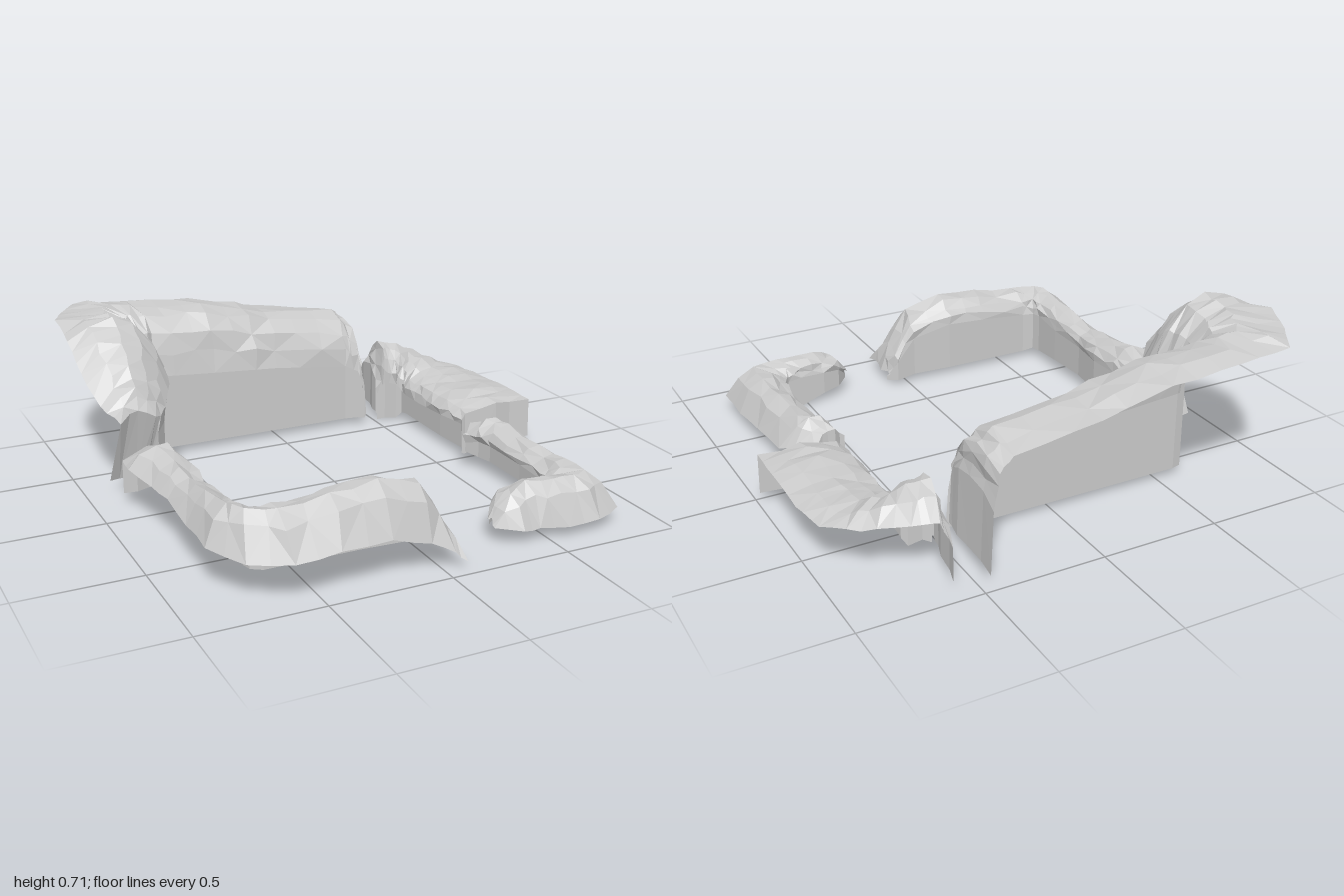
import * as THREE from 'three';

// small seeded noise in -1..1
function makeNoise(seed) {
  let s = seed;
  return () => {
    s = (s * 16807) % 2147483647;
    return (s / 2147483647) * 2 - 1;
  };
}

const material = new THREE.MeshStandardMaterial({ color: 0xcccccc, flatShading: true, side: THREE.DoubleSide });

// One cross-section, from the foot of the flat inner wall over the crest to the outer rim.
// key: [inner x, inner z, outer x, outer z, crest y, wall top y, rim y, bulge, base y]
// A positive bulge overhangs the inner wall, a negative one slopes back from it.
function section([ix, iz, ox, oz, crest, wall, rim, bulge, base]) {
  const rise = crest - wall, fall = crest - rim;
  return [
    [0, base], [0, wall], [-bulge, wall + rise * 0.35], [0.08 - bulge * 0.5, wall + rise * 0.65],
    [0.25, wall + rise * 0.9], [0.48, crest], [0.75, rim + fall * 0.72], [1, rim],
  ].map(([t, y]) => new THREE.Vector3(ix + (ox - ix) * t, y, iz + (oz - iz) * t));
}

// Subdivide the key stations and roughen the rounded crest
function loftRings(keys, steps, rough, seed) {
  const noise = makeNoise(seed);
  const rings = [];
  for (let i = 0; i < keys.length - 1; i++) {
    const last = i === keys.length - 2;
    for (let k = 0; k < steps + (last ? 1 : 0); k++) {
      const f = k / steps;
      rings.push(section(keys[i].map((v, j) => v + (keys[i + 1][j] - v) * f)));
    }
  }
  for (const ring of rings) {
    ring.forEach((p, j) => {
      if (j < 2) return;
      const a = j === 7 ? rough * 0.3 : rough;
      p.x += noise() * a;
      p.y += noise() * a;
      p.z += noise() * a;
    });
  }
  return rings;
}

// Facets between neighbouring rings, with alternating diagonals
function addStrip(out, a, b, flip) {
  for (let j = 0; j < a.length - 1; j++) {
    const [p, q, r, s] = [a[j], b[j], b[j + 1], a[j + 1]];
    const tris = (j + flip) % 2 ? [p, q, r, p, r, s] : [p, q, s, q, r, s];
    for (const v of tris) out.push(v.x, v.y, v.z);
  }
}

// Drop an end section to the ground, leaning by dx, dz
function skirt(ring, dx, dz, y) {
  return ring.map((p) => new THREE.Vector3(p.x + dx, y, p.z + dz));
}

function ridge(name, keys, { steps, rough, seed, startSkirt, endSkirt }) {
  const rings = loftRings(keys, steps, rough, seed);
  const pos = [];
  rings.slice(1).forEach((ring, i) => addStrip(pos, rings[i], ring, i));
  if (startSkirt) addStrip(pos, skirt(rings[0], ...startSkirt), rings[0], 0);
  if (endSkirt) addStrip(pos, rings.at(-1), skirt(rings.at(-1), ...endSkirt), 0);
  const geometry = new THREE.BufferGeometry();
  geometry.setAttribute('position', new THREE.Float32BufferAttribute(pos, 3));
  geometry.computeVertexNormals();
  const mesh = new THREE.Mesh(geometry, material);
  mesh.name = name;
  return mesh;
}

export function createModel() {
  const group = new THREE.Group();
  group.name = 'rockRidges';

  // Tall back ridge, turning the corner into a rounded boulder
  group.add(ridge('backRidge', [
    [0.435, -0.58, 0.455, -0.975, 0.36, 0.2, 0.32, 0, 0.04],
    [0.41, -0.6, 0.42, -0.955, 0.48, 0.27, 0.45, -0.02, 0.04],
    [0.35, -0.61, 0.36, -0.945, 0.53, 0.3, 0.5, -0.03, 0.04],
    [0.0, -0.61, 0.0, -0.95, 0.575, 0.34, 0.555, -0.04, 0.04],
    [-0.3, -0.61, -0.3, -0.95, 0.645, 0.36, 0.62, -0.04, 0.04],
    [-0.58, -0.61, -0.62, -0.95, 0.665, 0.38, 0.645, -0.03, 0.04],
    [-0.62, -0.6, -0.84, -0.945, 0.69, 0.38, 0.66, 0, 0.04],
    [-0.62, -0.58, -0.93, -0.8, 0.69, 0.38, 0.665, 0, 0.04],
    [-0.62, -0.54, -0.995, -0.64, 0.7, 0.36, 0.68, 0.05, 0.04],
    [-0.62, -0.45, -0.995, -0.45, 0.72, 0.34, 0.64, 0.09, 0.04],
    [-0.63, -0.36, -0.98, -0.33, 0.64, 0.32, 0.53, 0.09, 0.04],
    [-0.66, -0.26, -0.94, -0.22, 0.51, 0.3, 0.42, 0.05, 0.05],
    [-0.71, -0.19, -0.87, -0.175, 0.4, 0.28, 0.35, 0, 0.06],
  ], { steps: 3, rough: 0.01, seed: 11, startSkirt: [0.01, 0, 0.06], endSkirt: [-0.03, -0.1, 0.07] }));

  // Low ridge at the back, on the model's left
  group.add(ridge('backLeftRidge', [
    [0.52, -0.61, 0.59, -0.92, 0.24, 0.14, 0.18, 0, 0.01],
    [0.55, -0.59, 0.61, -0.87, 0.36, 0.2, 0.26, 0.02, 0.02],
    [0.61, -0.59, 0.71, -0.84, 0.35, 0.18, 0.26, 0.02, 0.01],
    [0.63, -0.57, 0.86, -0.74, 0.29, 0.15, 0.23, 0, 0.04],
    [0.63, -0.53, 0.97, -0.62, 0.25, 0.14, 0.215, 0, 0.05],
    [0.63, -0.4, 0.99, -0.45, 0.245, 0.14, 0.215, 0, 0.05],
    [0.63, -0.2, 0.99, -0.2, 0.245, 0.15, 0.225, 0, 0.05],
    [0.64, -0.03, 0.99, -0.03, 0.23, 0.16, 0.225, 0, 0.05],
  ], { steps: 3, rough: 0.009, seed: 23, startSkirt: [0, 0, 0.04], endSkirt: [0, 0.005, 0.05] }));

  // Angled ridge at the front, on the model's right
  group.add(ridge('frontRightRidge', [
    [-0.67, -0.17, -0.88, -0.15, 0.25, 0.18, 0.2, 0, 0.06],
    [-0.68, 0.0, -0.9, 0.0, 0.31, 0.2, 0.22, 0, 0.06],
    [-0.67, 0.14, -0.86, 0.16, 0.29, 0.2, 0.2, 0.05, 0.06],
    [-0.69, 0.3, -0.84, 0.3, 0.28, 0.2, 0.2, 0, 0.06],
    [-0.68, 0.5, -0.85, 0.52, 0.3, 0.21, 0.19, 0, 0.06],
    [-0.68, 0.65, -0.85, 0.73, 0.33, 0.23, 0.19, 0, 0.05],
    [-0.67, 0.69, -0.76, 0.88, 0.33, 0.23, 0.17, 0, 0.05],
    [-0.62, 0.7, -0.61, 0.965, 0.33, 0.23, 0.17, 0, 0.04],
    [-0.4, 0.7, -0.43, 0.965, 0.35, 0.25, 0.19, 0, 0.04],
    [-0.22, 0.7, -0.22, 0.95, 0.37, 0.26, 0.18, 0, 0.04],
    [-0.04, 0.71, -0.05, 0.935, 0.32, 0.22, 0.13, 0, 0.04],
    [0.05, 0.7, 0.04, 0.945, 0.18, 0.12, 0.08, 0, 0.03],
    [0.095, 0.73, 0.08, 0.965, 0.07, 0.05, 0.04, 0, 0.03],
  ], { steps: 2, rough: 0.011, seed: 37, startSkirt: [0, 0, 0.06] }));

  // Small angled ridge at the front, on the model's left
  group.add(ridge('frontLeftRidge', [
    [0.59, 0.09, 0.72, 0.06, 0.2, 0.12, 0.13, 0, 0.08],
    [0.62, 0.15, 0.78, 0.13, 0.24, 0.14, 0.13, 0.1, 0.07],
    [0.635, 0.22, 0.825, 0.2, 0.22, 0.14, 0.1, 0.06, 0.07],
    [0.635, 0.45, 0.825, 0.45, 0.21, 0.14, 0.08, 0, 0.07],
    [0.625, 0.62, 0.84, 0.65, 0.21, 0.14, 0.07, 0, 0.06],
    [0.615, 0.68, 0.84, 0.845, 0.21, 0.14, 0.07, 0, 0.06],
    [0.59, 0.7, 0.72, 0.9, 0.22, 0.14, 0.06, 0, 0.05],
    [0.53, 0.7, 0.58, 0.895, 0.23, 0.15, 0.055, 0, 0.01],
    [0.42, 0.7, 0.46, 0.87, 0.22, 0.15, 0.06, 0, 0.05],
    [0.34, 0.72, 0.38, 0.885, 0.2, 0.14, 0.07, 0, 0.06],
    [0.29, 0.77, 0.28, 0.83, 0.1, 0.09, 0.08, 0, 0.07],
  ], { steps: 2, rough: 0.011, seed: 53, startSkirt: [0, 0, 0.07] }));

  return group;
}
